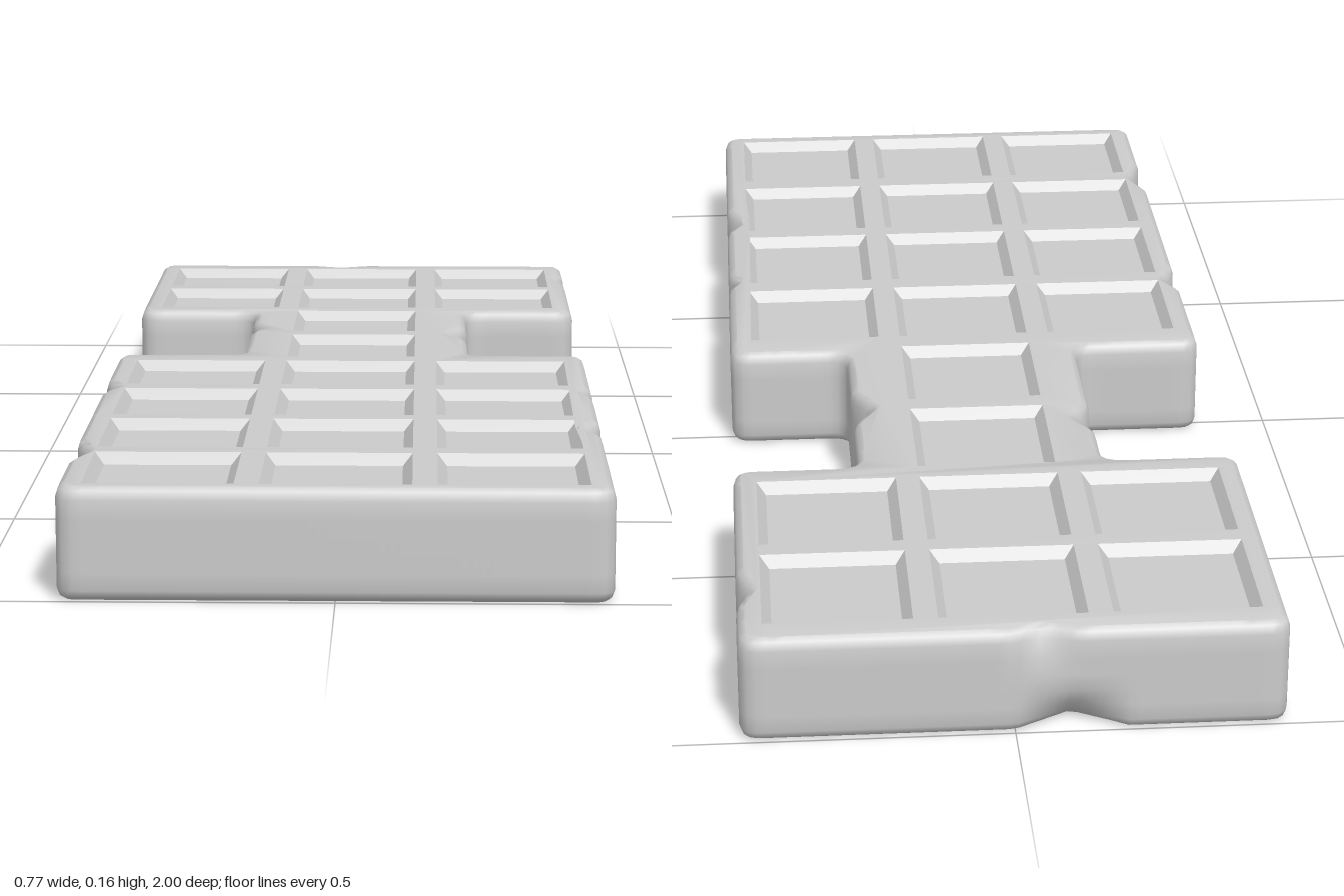
import * as THREE from 'three';
import { mergeGeometries, toCreasedNormals } from 'three/addons/utils/BufferGeometryUtils.js';

const HEIGHT = 0.16;
const flat = (x, z) => new THREE.Vector2(x, -z); // plan coordinates, counter-clockwise from above

// Chips along the edge: x, z, half width, depth, height of the deepest point, vertical reach
const CHIPS = [
  [0.385, 0.57, 0.05, 0.03, 0.16, 0.07],
  [0.385, 0.29, 0.03, 0.022, 0.1, 0.25],
  [0.195, -0.24, 0.06, 0.035, 0.16, 0.13],
  [0.195, -0.32, 0.08, 0.06, 0.02, 0.06],
  [0.385, -0.84, 0.05, 0.02, 0.16, 0.05],
  [0.385, -0.77, 0.07, 0.03, 0.0, 0.04],
  [-0.385, 0.25, 0.05, 0.025, 0.16, 0.1],
  [-0.385, 0.74, 0.07, 0.025, 0.16, 0.12],
  [-0.18, -0.3, 0.05, 0.03, 0.16, 0.09],
  [-0.04, -1, 0.05, 0.02, 0.16, 0.06],
  [-0.08, -1, 0.08, 0.05, 0.0, 0.06],
];

function geometryOf(points, index) {
  const g = new THREE.BufferGeometry().setFromPoints(points);
  g.setIndex(index);
  return g.toNonIndexed();
}

// Joins consecutive closed rings with quads
function skin(rings) {
  const n = rings[0].length, index = [];
  for (let r = 0; r < rings.length - 1; r++) {
    for (let i = 0; i < n; i++) {
      const j = (i + 1) % n, a = r * n + i, b = r * n + j;
      index.push(a, b, b + n, a, b + n, a + n);
    }
  }
  return geometryOf(rings.flat(), index);
}

// Flat face inside a ring, with optional holes
function cap(ring, holes = [], down = false) {
  const plan = (r) => r.map((p) => flat(p.x, p.z));
  const faces = THREE.ShapeUtils.triangulateShape(plan(ring), holes.map(plan));
  const index = faces.flatMap(([a, b, c]) => (down ? [a, c, b] : [a, b, c]));
  return geometryOf([ring, ...holes].flat(), index);
}

// Plan outline: two wide blocks joined by a neck, corners rounded
function outline() {
  const corners = [
    [-0.385, 1], [0.385, 1], [0.385, -0.03], [0.195, -0.03], [0.195, -0.455], [0.385, -0.455],
    [0.385, -1], [-0.385, -1], [-0.385, -0.455], [-0.18, -0.455], [-0.18, -0.03], [-0.385, -0.03],
  ].map(([x, z]) => flat(x, z));
  const path = new THREE.Path();
  corners.forEach((c, i) => {
    const towards = (q) => c.clone().add(q.clone().sub(c).setLength(0.03));
    const a = towards(corners[(i + corners.length - 1) % corners.length]);
    const b = towards(corners[(i + 1) % corners.length]);
    if (i === 0) path.moveTo(a.x, a.y);
    else path.lineTo(a.x, a.y);
    path.quadraticCurveTo(c.x, c.y, b.x, b.y);
  });
  path.closePath();
  return path.getSpacedPoints(440).slice(0, -1);
}

// Outline at one height, inset for the rounded edge and pushed in by the chips
function edgeRing(plan, y, inset) {
  const n = plan.length;
  return plan.map((p, i) => {
    const t = plan[(i + 1) % n].clone().sub(plan[(i + n - 1) % n]).normalize();
    let d = inset;
    for (const [cx, cz, w, depth, cy, reach] of CHIPS) {
      const along = Math.max(0, 1 - Math.hypot(p.x - cx, -p.y - cz) / w);
      d += depth * along * Math.max(0, 1 - Math.abs(y - cy) / reach);
    }
    return new THREE.Vector3(p.x - t.y * d, y, -(p.y + t.x * d));
  });
}

const rectRing = (x0, x1, z0, z1, y, inset) => [
  new THREE.Vector3(x0 + inset, y, z1 - inset),
  new THREE.Vector3(x1 - inset, y, z1 - inset),
  new THREE.Vector3(x1 - inset, y, z0 + inset),
  new THREE.Vector3(x0 + inset, y, z0 + inset),
];

export function createModel() {
  const group = new THREE.Group();
  const material = new THREE.MeshStandardMaterial({ color: 0xcccccc, roughness: 0.8 });
  const add = (name, parts, crease) => {
    const mesh = new THREE.Mesh(toCreasedNormals(mergeGeometries(parts), crease), material);
    mesh.name = name;
    group.add(mesh);
  };

  // Sunken square panels: three columns, only the middle one on the neck
  const columns = [[-0.35, -0.14], [-0.105, 0.105], [0.14, 0.35]];
  const rows = [-0.95, -0.71, -0.465, -0.22, 0.03, 0.275, 0.515, 0.76];
  const holes = [], panels = [];
  rows.forEach((z, r) => {
    columns.forEach(([x0, x1], c) => {
      if ((r === 2 || r === 3) && c !== 1) return;
      const rim = rectRing(x0, x1, z, z + 0.208, HEIGHT, 0);
      const floor = rectRing(x0, x1, z, z + 0.208, HEIGHT - 0.016, 0.014);
      holes.push(rim);
      panels.push(skin([rim, floor]), cap(floor));
    });
  });

  // Slab with softened, chipped edges
  const plan = outline();
  const profile = [
    [0, 0.012], [0.005, 0.004], [0.015, 0], [0.04, 0], [0.065, 0], [0.09, 0],
    [0.115, 0], [0.142, 0], [0.155, 0.004], [HEIGHT, 0.012],
  ];
  const rings = profile.map(([y, inset]) => edgeRing(plan, y, inset));
  add('slab', [skin(rings), cap(rings[0], [], true), cap(rings.at(-1), holes)], 0.9);
  add('sunkenPanels', panels, 0.6);
  return group;
}
